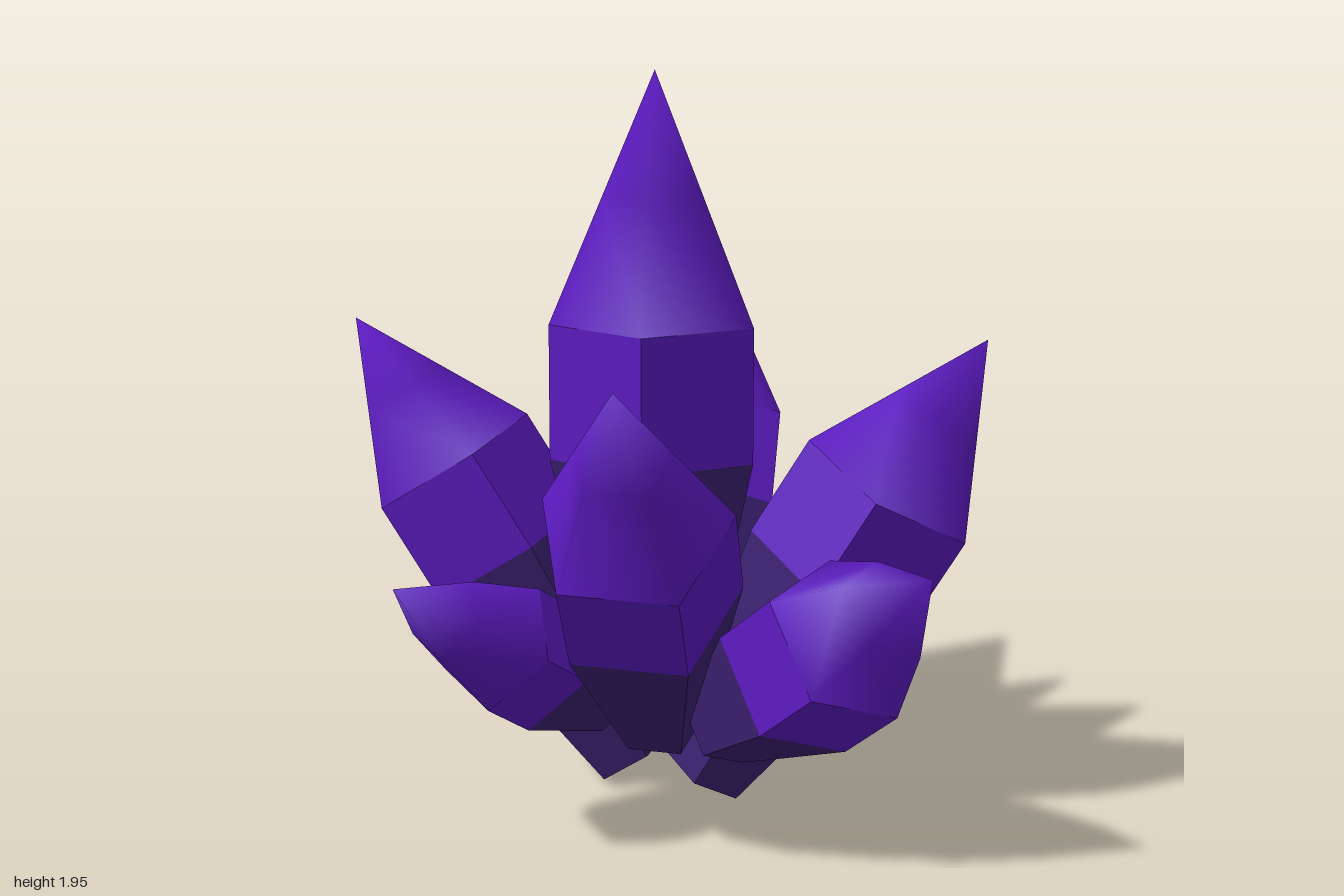
import * as THREE from 'three';
import { mergeVertices } from 'three/addons/utils/BufferGeometryUtils.js';

const V = (a) => new THREE.Vector3(...a);

const crystalMat = new THREE.MeshStandardMaterial({ color: 0x5b1abe });
crystalMat.name = 'bright violet';
const rootMat = new THREE.MeshStandardMaterial({ color: 0x3b2070 });
rootMat.name = 'dark violet';

// Five-sided shell from [radius, height] pairs; one corner points to +z
function shell(name, profile, material, smooth) {
  let geo = new THREE.LatheGeometry(profile.map(([r, y]) => new THREE.Vector2(r, y)), 5);
  geo.deleteAttribute('uv');
  geo.deleteAttribute('normal');
  geo = smooth ? mergeVertices(geo) : geo.toNonIndexed();
  geo.computeVertexNormals();
  const mesh = new THREE.Mesh(geo, material);
  mesh.name = name;
  return mesh;
}

// Crystal from base to tip: tapered root, straight band, pointed smooth tip.
// corner is a point near one vertex of the ring under the tip.
function crystal({ name, base, tip, corner, R, r, band, point, bulge = 0.5 }) {
  const a = V(base), axis = V(tip).sub(a), len = axis.length();
  axis.normalize();
  const h1 = len * band, h2 = len * point;

  const group = new THREE.Group();
  group.name = name;
  group.add(
    shell('root', [[0, 0], [r, 0], [R, h1]], rootMat, false),
    shell('band', [[R, h1], [R, h2]], crystalMat, false),
    shell('tip', [[R, h2], [R * bulge, (h2 + len) / 2], [0, len]], crystalMat, true),
  );

  // Turn the corner toward its reference point, around the crystal axis
  const z = V(corner).sub(a);
  z.addScaledVector(axis, -z.dot(axis)).normalize();
  const x = new THREE.Vector3().crossVectors(axis, z);
  group.quaternion.setFromRotationMatrix(new THREE.Matrix4().makeBasis(x, axis, z));
  group.position.copy(a);
  return group;
}

export function createModel() {
  const model = new THREE.Group();
  model.name = 'crystalCluster';

  // Upright centre crystal
  model.add(crystal({
    name: 'centreCrystal', base: [-0.04, 0.2, -0.01], tip: [-0.04, 1.95, -0.01],
    corner: [0.24, 1.29, -0.01], R: 0.284, r: 0.12, band: 0.417, point: 0.623,
  }));

  // Outer crystals, each with a partner half a turn around; sum = both tips added (x, z)
  const pairs = [
    {
      names: ['frontLeftCrystal', 'backRightCrystal'], sum: [-0.034, 0],
      base: [0.02, 0.06, 0.115], tip: [0.418, 1.27, 0.737], corner: [0.315, 0.755, 0.748],
      R: 0.255, r: 0.12, band: 0.467, point: 0.672,
    },
    {
      names: ['frontRightCrystal', 'backLeftCrystal'], sum: [0.02, 0.02],
      base: [-0.125, 0.23, 0.09], tip: [-0.807, 1.278, 0.575], corner: [-0.78, 0.745, 0.34],
      R: 0.255, r: 0.12, band: 0.397, point: 0.614,
    },
    {
      names: ['lowFrontCrystal', 'lowBackCrystal'], sum: [0.043, -0.01],
      base: [-0.11, 0.25, 0.285], tip: [-0.14, 0.785, 0.995], corner: [-0.08, 0.4, 0.875],
      R: 0.23, r: 0.11, band: 0.365, point: 0.603, bulge: 0.6,
    },
    {
      names: ['lowLeftCrystal', 'lowRightCrystal'], sum: [0, 0.03],
      base: [0.23, 0.29, 0.01], tip: [0.992, 0.75, 0.016], corner: [0.68, 0.365, -0.02],
      R: 0.175, r: 0.085, band: 0.34, point: 0.526, bulge: 0.63,
    },
  ];
  for (const p of pairs) {
    const turn = ([x, y, z]) => [p.sum[0] - x, y, p.sum[1] - z];
    const [bx, by, bz] = p.base;
    model.add(crystal({ ...p, name: p.names[0] }));
    model.add(crystal({
      ...p, name: p.names[1],
      base: [-bx, by, -bz], tip: turn(p.tip), corner: turn(p.corner),
    }));
  }
  return model;
}
